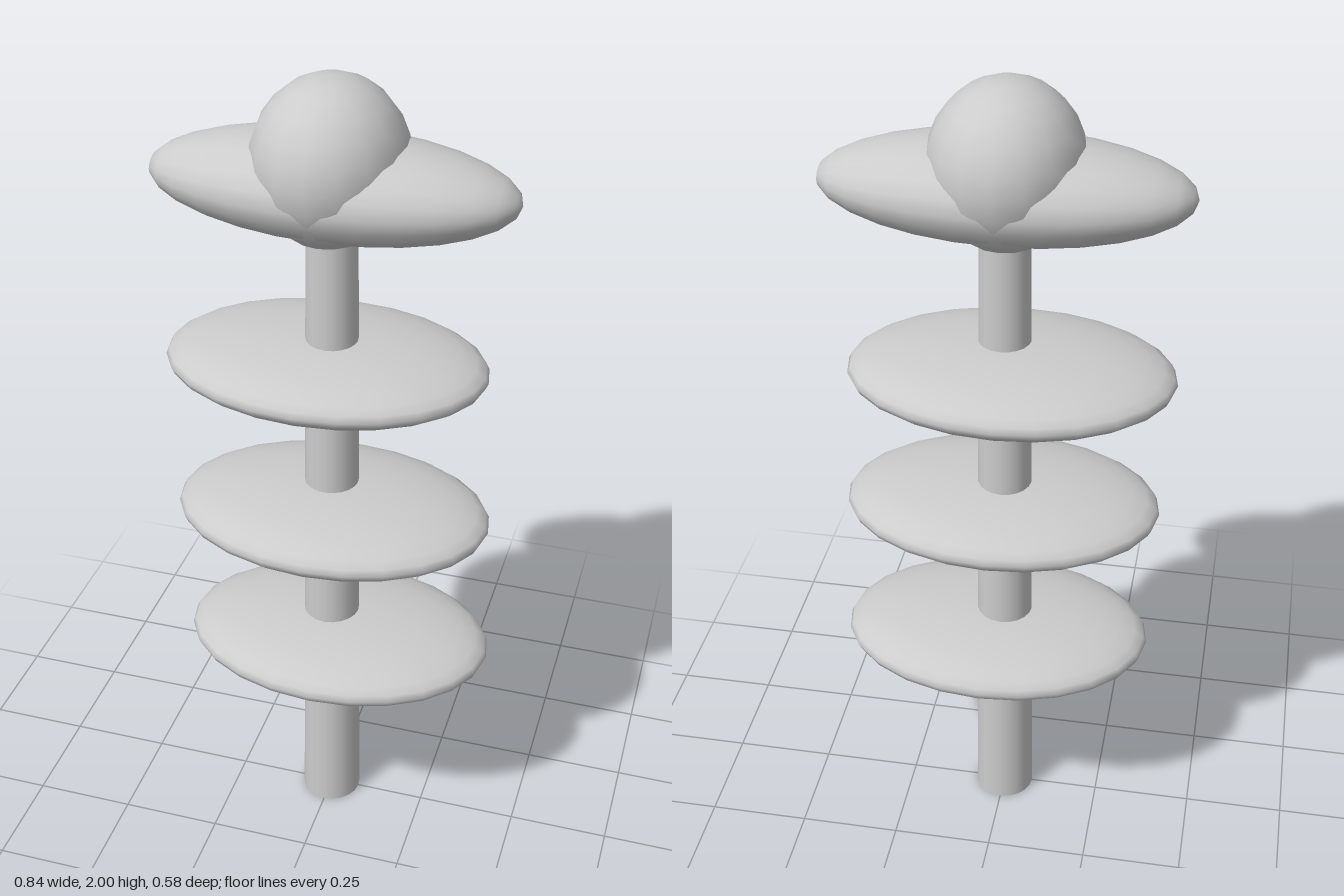
import * as THREE from 'three';

export function createModel() {
  const group = new THREE.Group();
  const material = new THREE.MeshStandardMaterial({ color: 0xcccccc });

  const add = (name, geometry, x, y, z) => {
    const mesh = new THREE.Mesh(geometry, material);
    mesh.name = name;
    mesh.position.set(x, y, z);
    group.add(mesh);
    return mesh;
  };

  // Ellipsoid given by its half sizes; scaling the geometry keeps normals right
  const ellipsoid = (rx, ry, rz, around, rings) =>
    new THREE.SphereGeometry(1, around, rings).scale(rx, ry, rz);

  // Slightly tapered upright stem
  add('stem', new THREE.CylinderGeometry(0.058, 0.075, 1.72, 20), 0, 0.86, 0);

  // Three flat oval discs, each a little off the axis
  const discs = [
    [0.02, 0.53, 0.003],
    [0.008, 0.918, 0.017],
    [-0.018, 1.305, -0.017],
  ];
  for (const [x, y, z] of discs) {
    add('disc', ellipsoid(0.384, 0.075, 0.273, 24, 16), x, y, z);
  }

  // Wide cap lying along x, its poles forming the pointed ends
  const cap = new THREE.SphereGeometry(1, 20, 14).rotateZ(Math.PI / 2).scale(0.42, 0.115, 0.182);
  add('cap', cap, 0, 1.757, 0);

  // Round knob sunk into the cap
  add('knob', ellipsoid(0.177, 0.19, 0.196, 16, 12), -0.004, 1.81, 0);

  return group;
}
